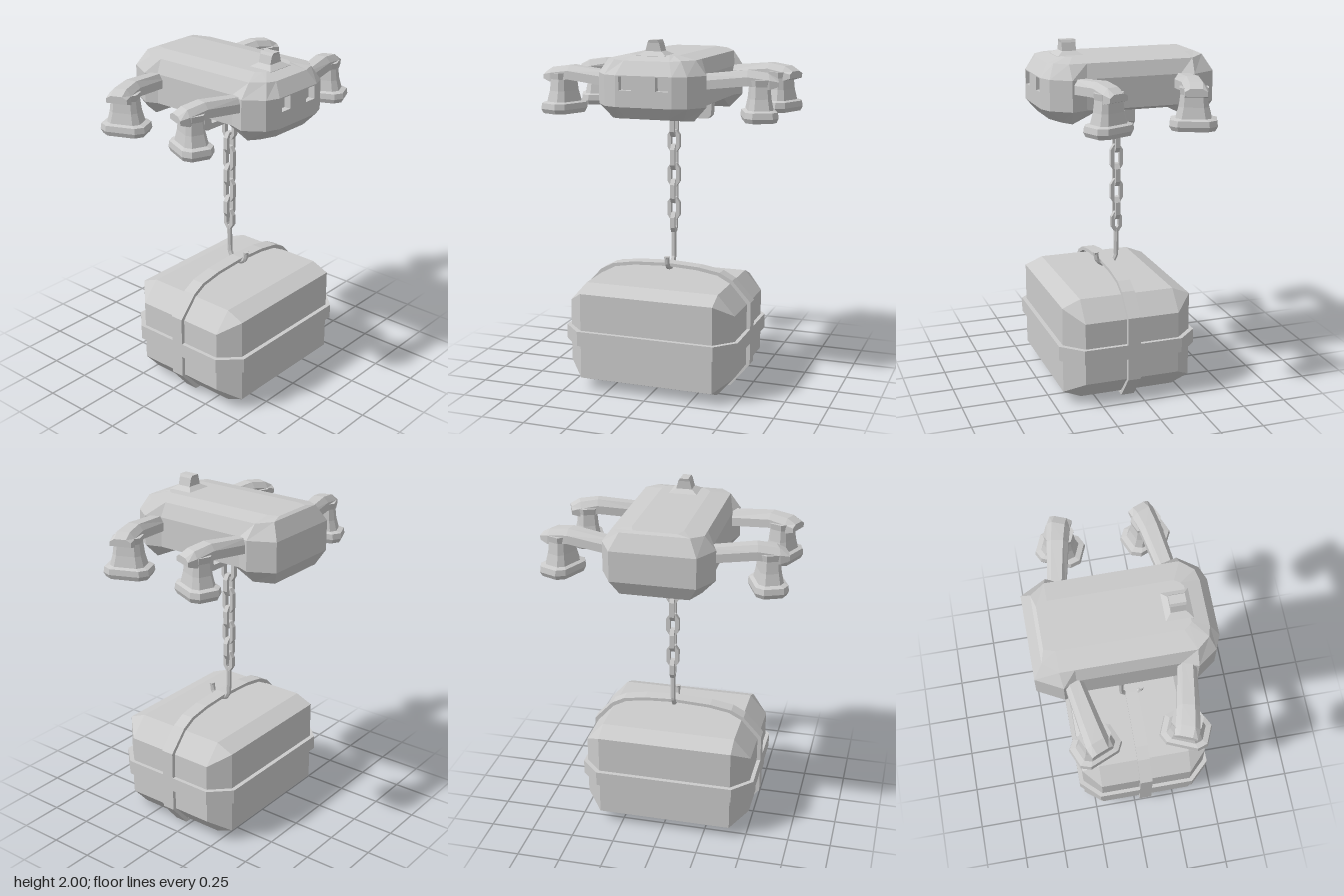
import * as THREE from 'three';
import { ConvexGeometry } from 'three/addons/geometries/ConvexGeometry.js';

const material = new THREE.MeshStandardMaterial({ color: 0xcccccc, flatShading: true });

function part(parent, name, geometry) {
  const mesh = new THREE.Mesh(geometry, material);
  mesh.name = name;
  parent.add(mesh);
  return mesh;
}

// Skin over symmetric rings (point j mirrors point n-1-j), closed at both ends.
// skip(band, edge) leaves a panel open; flip turns the faces for mirrored parts.
function loft(rings, { flip = false, skip = () => false } = {}) {
  const pos = [];
  const quad = (a, b, c, d) => {
    const q = flip ? [a, d, c, a, c, b] : [a, b, c, a, c, d];
    q.forEach((p) => pos.push(...p));
  };
  const n = rings[0].length;
  for (let k = 0; k < rings.length - 1; k++) {
    for (let i = 0; i < n; i++) {
      const j = (i + 1) % n;
      if (!skip(k, i)) quad(rings[k][i], rings[k][j], rings[k + 1][j], rings[k + 1][i]);
    }
  }
  const lo = rings[0], hi = rings[rings.length - 1];
  for (let i = 0; i < n / 2 - 1; i++) {
    quad(hi[i], hi[i + 1], hi[n - 2 - i], hi[n - 1 - i]);
    quad(lo[n - 1 - i], lo[n - 2 - i], lo[i + 1], lo[i]);
  }
  const g = new THREE.BufferGeometry();
  g.setAttribute('position', new THREE.Float32BufferAttribute(pos, 3));
  g.computeVertexNormals();
  return g;
}

const mirrorX = (half) => [...half, ...half.slice().reverse().map(([x, y, z]) => [-x, y, z])];
const toShape = (pts) => new THREE.Shape(pts.map(([x, y]) => new THREE.Vector2(x, y)));

// Flat plate with holes, centred on its thickness
function plate(outer, holes, depth) {
  const shape = toShape(outer);
  holes.forEach((h) => shape.holes.push(toShape(h)));
  return new THREE.ExtrudeGeometry(shape, { depth, bevelEnabled: false }).translate(0, 0, -depth / 2);
}

const rect = (x0, x1, y0, y1) => [[x0, y0], [x1, y0], [x1, y1], [x0, y1]];
const octagon = (w, h, c, d = c) => [
  [w, -h + d], [w, h - d], [w - c, h], [-w + c, h], [-w, h - d], [-w, -h + d], [-w + c, -h], [w - c, -h]];

function buildBody(parent) {
  const body = new THREE.Group();
  body.name = 'body';
  parent.add(body);
  const side = [[.16, .485], [.235, .455], [.31, .35], [.28, .26], [.28, -.28], [.31, -.35], [.235, -.49]];
  const at = (y) => mirrorX(side.map(([x, z]) => [x, y, z]));
  const bottom = mirrorX([[.12, 1.585, .43], [.19, 1.575, .38], [.235, 1.57, .33], [.235, 1.63, .2],
    [.235, 1.63, -.22], [.235, 1.57, -.34], [.19, 1.57, -.45]]);
  const shoulder = mirrorX([[.13, 1.895, .435], [.19, 1.9, .42], [.25, 1.9, .35], [.25, 1.9, .25],
    [.25, 1.9, -.28], [.25, 1.9, -.36], [.19, 1.91, -.44]]);
  const crown = mirrorX([[.1, 1.92, .345], [.12, 1.92, .33], [.14, 1.92, .3], [.14, 1.92, .2],
    [.14, 1.92, -.28], [.14, 1.92, -.36], [.12, 1.92, -.42]]);
  part(body, 'shell', loft([bottom, at(1.65), at(1.82), shoulder, crown],
    { skip: (k, i) => k === 1 && i === 13 }));

  // Face panel with two recessed square eyes
  const eyes = [-1, 1].map((s) => rect(s * .105 - .036, s * .105 + .036, 1.74, 1.815));
  part(body, 'facePanel', plate(rect(-.16, .16, 1.65, 1.82), eyes, .04)).position.z = .465;
  part(body, 'eyeSockets', new THREE.PlaneGeometry(.32, .17)).position.set(0, 1.735, .446);

  // Flared stub on top
  const square = (w, d, y) => mirrorX([[w, y, .287 + d], [w, y, .287 - d]]);
  part(body, 'topStub', loft([square(.085, .075, 1.9), square(.085, .075, 1.917), square(.045, .04, 1.94),
    square(.033, .04, 1.985), square(.024, .043, 2)]));

  // Handle under the belly that carries the chain
  part(body, 'bellyHandle', plate([[-.24, 1.65], [-.235, 1.565], [-.215, 1.545], [.215, 1.545], [.235, 1.565],
    [.24, 1.65], [.19, 1.65], [.18, 1.578], [-.18, 1.578], [-.19, 1.65]], [], .06));
}

// One arm with its hollow thruster, placed in the quadrant sx, sz
function buildArm(parent, sx, sz) {
  const arm = new THREE.Group();
  arm.name = (sz > 0 ? 'front' : 'back') + (sx > 0 ? 'Left' : 'Right') + 'Arm';
  parent.add(arm);
  const place = (rings) => loft(rings.map((r) => r.map(([x, y, z]) => [sx * x, y, sz * z])),
    { flip: sx * sz < 0 });

  // x, z, top, bottom, half width, turn
  const stations = [[.24, .3, 1.82, 1.74, .048, .1], [.51, .252, 1.847, 1.768, .058, .2],
    [.615, .23, 1.832, 1.75, .064, .38], [.663, .212, 1.805, 1.765, .06, .38]];
  part(arm, 'beam', place(stations.map(([x, z, top, bot, w, a]) => {
    const mid = bot + (top - bot) * .6;
    return [[-w, bot], [-w, mid], [-w * .55, top], [w * .55, top], [w, mid], [w, bot]]
      .map(([s, y]) => [x + s * Math.sin(a), y, z + s * Math.cos(a)]);
  })));

  const outline = mirrorX([[.055, 0, .128], [.092, 0, .085], [.092, 0, -.085], [.055, 0, -.128]]);
  const c = Math.cos(.4), s = Math.sin(.4);
  const levels = [[1.63, .5], [1.575, .65], [1.575, .9], [1.6, 1], [1.632, .96], [1.64, .74],
    [1.7, .62], [1.765, .56], [1.8, .6]];
  part(arm, 'thruster', place(levels.map(([y, k]) =>
    outline.map(([x, , z]) => [.572 + k * (x * c + z * s), y, .237 + k * (z * c - x * s)]))));
}

function buildChain(parent) {
  const chain = new THREE.Group();
  chain.name = 'chain';
  chain.position.x = .005;
  parent.add(chain);
  // Links alternate by a quarter turn: lower end, upper end, half width
  const links = [[1.43, 1.6, .045], [1.34, 1.47, .037], [1.235, 1.385, .037], [1.14, 1.275, .037],
    [1.04, 1.18, .037], [.94, 1.075, .037], [.865, .985, .032]];
  links.forEach(([y0, y1, w], i) => {
    const h = (y1 - y0) / 2;
    const link = part(chain, 'link', plate(octagon(w, h, .02, .03), [octagon(w - .021, h - .024, .006, .012)], .027));
    link.position.y = (y0 + y1) / 2;
    if (i % 2 === 0) link.rotation.y = Math.PI / 2;
  });
  // Hook passing under the crate's strap
  const path = new THREE.CurvePath();
  const pts = [[.88, 0], [.72, .003], [.683, .022], [.67, .06], [.677, .1], [.698, .12], [.74, .127]]
    .map(([y, z]) => new THREE.Vector3(0, y, z));
  for (let i = 1; i < pts.length; i++) path.add(new THREE.LineCurve3(pts[i - 1], pts[i]));
  part(chain, 'hook', new THREE.TubeGeometry(path, 28, .015, 6));
  part(chain, 'hookTip', new THREE.CylinderGeometry(.017, .015, .012, 6)).position.set(0, .74, .127);
}

function buildCrate(parent) {
  const crate = new THREE.Group();
  crate.name = 'crate';
  crate.position.set(-.013, .32, .067);
  parent.add(crate);
  // Box with all edges and corners cut
  const corners = [];
  for (const x of [-1, 1]) for (const y of [-1, 1]) for (const z of [-1, 1]) {
    for (const [a, b, c] of [[.493, .18, .275], [.393, .25, .378], [.393, .293, .275]]) {
      corners.push(new THREE.Vector3(a * x, b * y, c * z));
    }
  }
  part(crate, 'box', new ConvexGeometry(corners));

  // Strap around the middle
  const belt = part(crate, 'beltStrap',
    plate(octagon(.515, .403, .11, .115), [octagon(.488, .37, .1, .1)], .085));
  belt.rotation.x = Math.PI / 2;
  belt.position.y = -.01;

  // Strap over the top, bowed up where the hook lifts it
  const right = [[.4, -.32], [.515, -.18], [.515, .19], [.405, .31], [.33, .35], [.2, .372]];
  const loop = [...right, [.01, .382], ...right.slice().reverse().map(([x, y]) => [-x, y])];
  part(crate, 'liftStrap', plate(loop, [loop.map(([x, y]) => [x * .955, y * .95])], .075))
    .position.z = -.004;
}

export function createModel() {
  const model = new THREE.Group();
  model.name = 'cargoDrone';
  buildBody(model);
  for (const sx of [-1, 1]) for (const sz of [-1, 1]) buildArm(model, sx, sz);
  buildChain(model);
  buildCrate(model);
  return model;
}
